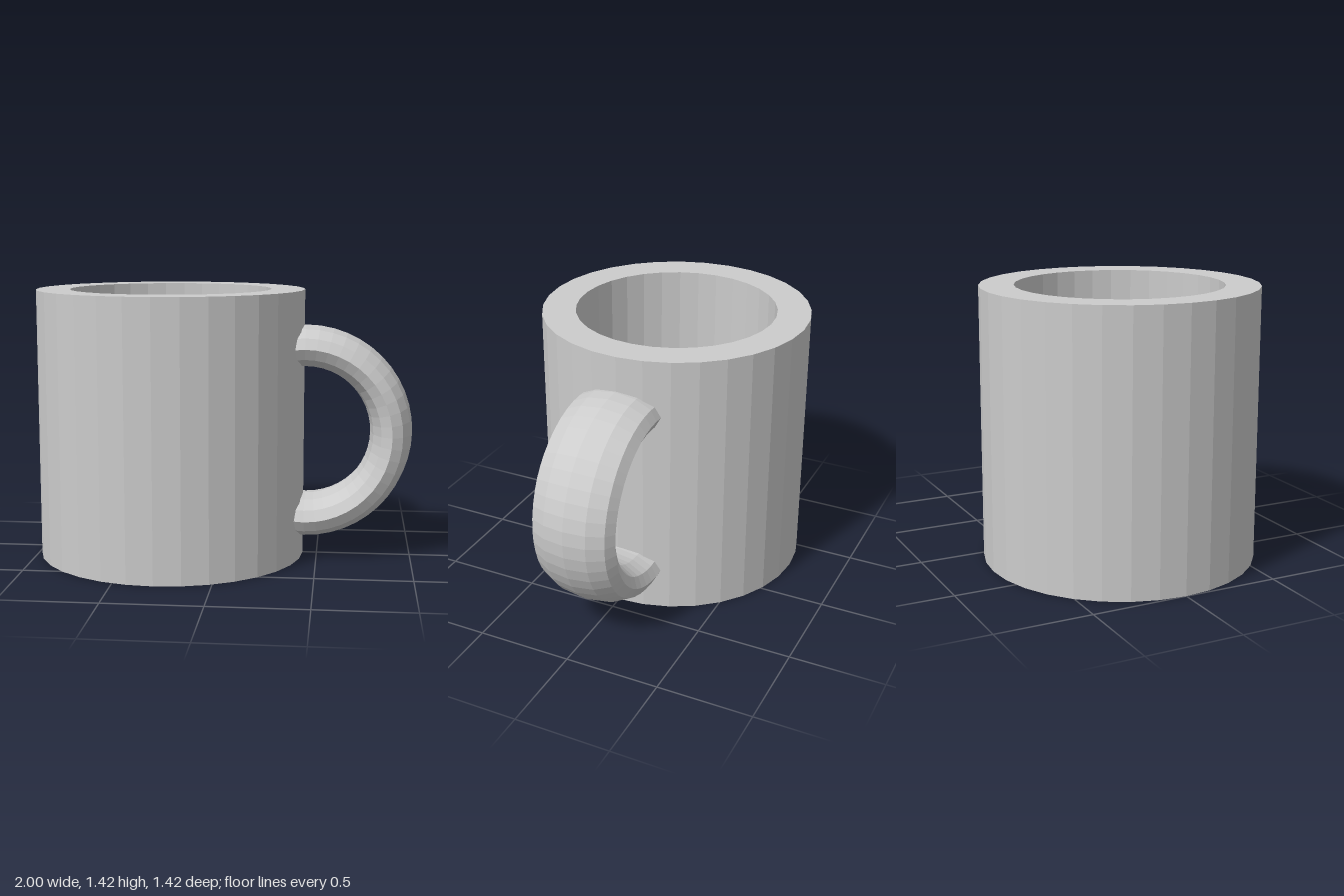
import * as THREE from 'three';

const RADIUS = 0.7125, HEIGHT = 1.425, WALL = 0.178;

export function createModel() {
  const group = new THREE.Group();
  const material = new THREE.MeshStandardMaterial({ color: 0xcccccc, flatShading: true });

  // Cup: one closed wall profile, from the base centre up the outside and down into the cavity
  const inner = RADIUS - WALL;
  const profile = [[0, 0], [RADIUS, 0], [RADIUS, HEIGHT], [inner, HEIGHT], [inner, WALL], [0, WALL]]
    .map(([r, y]) => new THREE.Vector2(r, y));
  const cup = new THREE.Mesh(new THREE.LatheGeometry(profile, 32), material);
  cup.name = 'cup';
  cup.position.x = RADIUS - 1;
  group.add(cup);

  // Handle: partial ring, widened along z, with both ends buried in the wall
  const arc = THREE.MathUtils.degToRad(210);
  const ring = new THREE.TorusGeometry(0.454, 0.111, 12, 28, arc);
  ring.rotateZ(-arc / 2);
  ring.scale(1, 1, 2.05);
  const handle = new THREE.Mesh(ring, material);
  handle.name = 'handle';
  handle.position.set(0.435, 0.675, 0);
  group.add(handle);

  return group;
}
